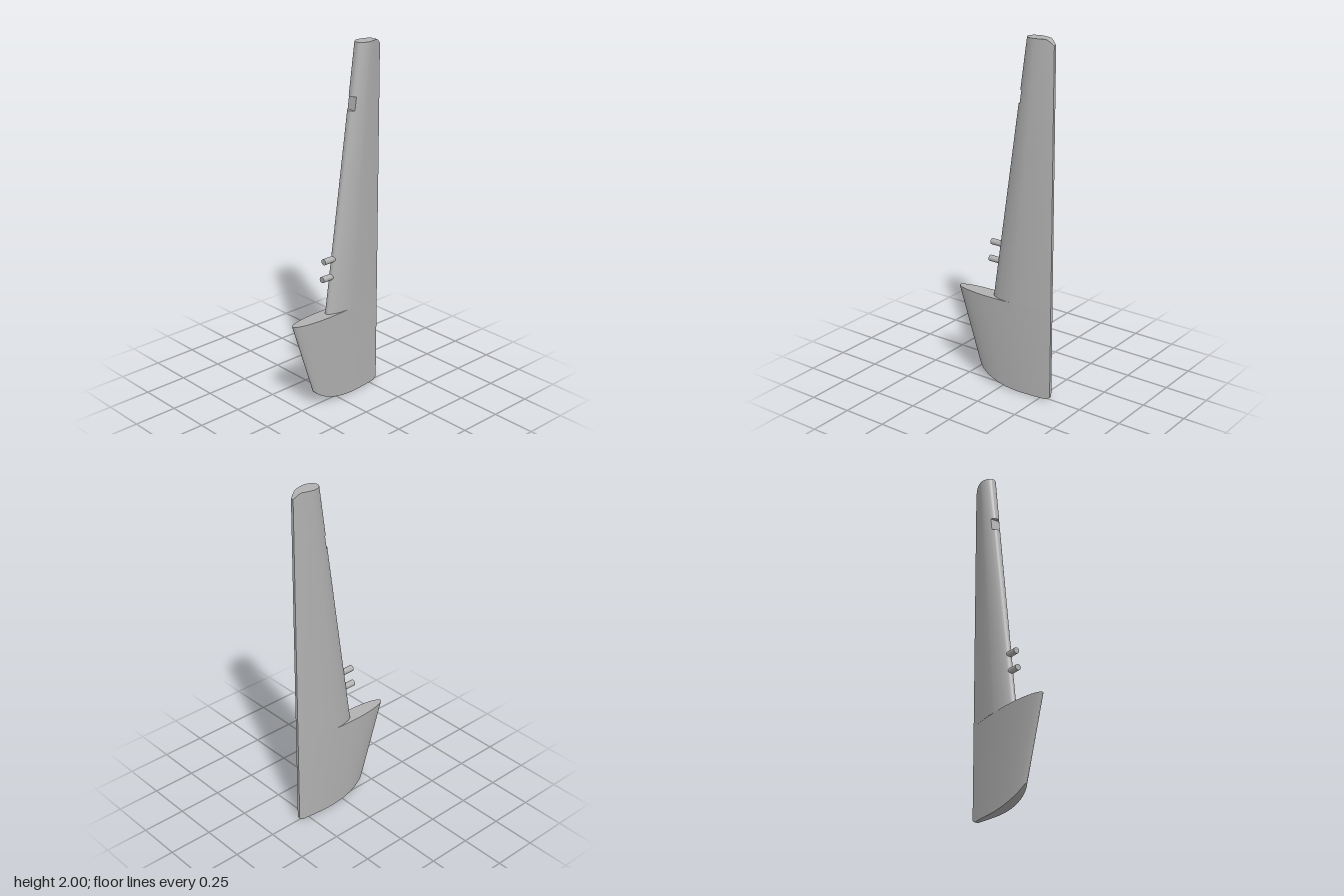
import * as THREE from 'three';
import { toCreasedNormals } from 'three/addons/utils/BufferGeometryUtils.js';

const TAIL = -0.31; // shared straight trailing edge
const M = 0.64;     // widest station along the chord (0 tail, 1 nose)
const N = 24;

// chord stations from tail to nose, denser round the nose
const stations = [];
for (let i = 0; i < N; i++) stations.push(M * i / N);
for (let i = 0; i <= N; i++) stations.push(M + (1 - M) * Math.sin(i / N * Math.PI / 2));

// half thickness: elliptical nose, tapering tail with a blunt end
function thickness(u, half, power) {
  if (u >= M) return half * Math.sqrt(Math.max(0, 1 - ((u - M) / (1 - M)) ** 2));
  return half - (half - 0.008) * ((M - u) / M) ** power;
}

// one closed ring: +x side from tail to nose, then back along -x
function ring(pointAt) {
  const side = stations.map(pointAt);
  return [...side, ...side.slice().reverse().map(([x, y, z]) => [-x, y, z])];
}

// skin through rings from bottom to top, with both ends capped
function loft(rings) {
  const pos = [];
  const quad = (a, b, c, d) => pos.push(...a, ...b, ...c, ...a, ...c, ...d);
  const n = rings[0].length;
  for (let r = 0; r + 1 < rings.length; r++) {
    const lo = rings[r], hi = rings[r + 1];
    for (let j = 0; j < n; j++) {
      const k = (j + 1) % n;
      quad(lo[j], hi[j], hi[k], lo[k]);
    }
  }
  const bottom = rings[0], top = rings[rings.length - 1];
  for (let j = 0; j < n / 2 - 1; j++) {
    const l = n - 1 - j;
    quad(top[l], top[l - 1], top[j + 1], top[j]);
    quad(bottom[j], bottom[j + 1], bottom[l - 1], bottom[l]);
  }
  const g = new THREE.BufferGeometry();
  g.setAttribute('position', new THREE.Float32BufferAttribute(pos, 3));
  return toCreasedNormals(g, 0.5);
}

// slender upper blade with a shallow notch in its leading edge
function upperBlade() {
  const lead = y => 0.07 - 0.216 * (y - 0.53) / 1.47;
  const row = (y, notch = 0) => ring(u => {
    const z = TAIL + u * (lead(y) - TAIL);
    return [thickness(u, 0.042, 1.4), y, Math.min(z, lead(y) - notch)];
  });
  // rear corner of the tip is cut away
  const tip = row(2).map(([x, y, z]) =>
    [x, y - 0.03 * (Math.max(0, -0.27 - z) / 0.04) ** 1.3, z]);
  return loft([row(0.53), row(1.1), row(1.645), row(1.645, 0.02),
    row(1.72, 0.02), row(1.72), row(1.9), tip]);
}

// broad lower blade, trimmed underneath by a rounded heel curve
function lowerBlade() {
  const lead = y => 0.31 - 0.13 * (0.53 - y) / 0.4;
  const zAt = (u, y) => TAIL + u * (lead(y) - TAIL);
  const heel = z => {
    if (z < -0.29) return 0.015 * (-0.29 - z) / 0.02;
    const t = THREE.MathUtils.clamp((z + 0.13) / 0.31, 0, 1);
    return 0.13 * (1 - Math.sqrt(1 - t * t));
  };
  // height at which each column meets the heel curve
  const trim = u => {
    let lo = 0, hi = 0.53;
    for (let i = 0; i < 30; i++) {
      const y = (lo + hi) / 2;
      if (y < heel(zAt(u, y))) lo = y; else hi = y;
    }
    return hi;
  };
  const row = f => ring(u => {
    const y = THREE.MathUtils.lerp(trim(u), 0.53, f);
    return [thickness(u, 0.03 + 0.017 * y / 0.53, 2), y, zAt(u, y)];
  });
  return loft([0, 0.33, 0.67, 1].map(row));
}

export function createModel() {
  const model = new THREE.Group();
  const metal = new THREE.MeshStandardMaterial({ color: 0xb2b2b2 });
  metal.name = 'grey metal';
  const add = (name, geometry) => {
    const mesh = new THREE.Mesh(geometry, metal);
    mesh.name = name;
    model.add(mesh);
    return mesh;
  };

  add('upperBlade', upperBlade());
  add('lowerBlade', lowerBlade());

  // two pegs standing out of the leading edge
  for (const [name, y, front] of [['upperPeg', 0.84, 0.085], ['lowerPeg', 0.74, 0.098]]) {
    const length = 0.12;
    const peg = new THREE.CylinderGeometry(0.017, 0.017, length, 24).rotateX(Math.PI / 2);
    add(name, peg).position.set(0, y, front - length / 2);
  }
  return model;
}
